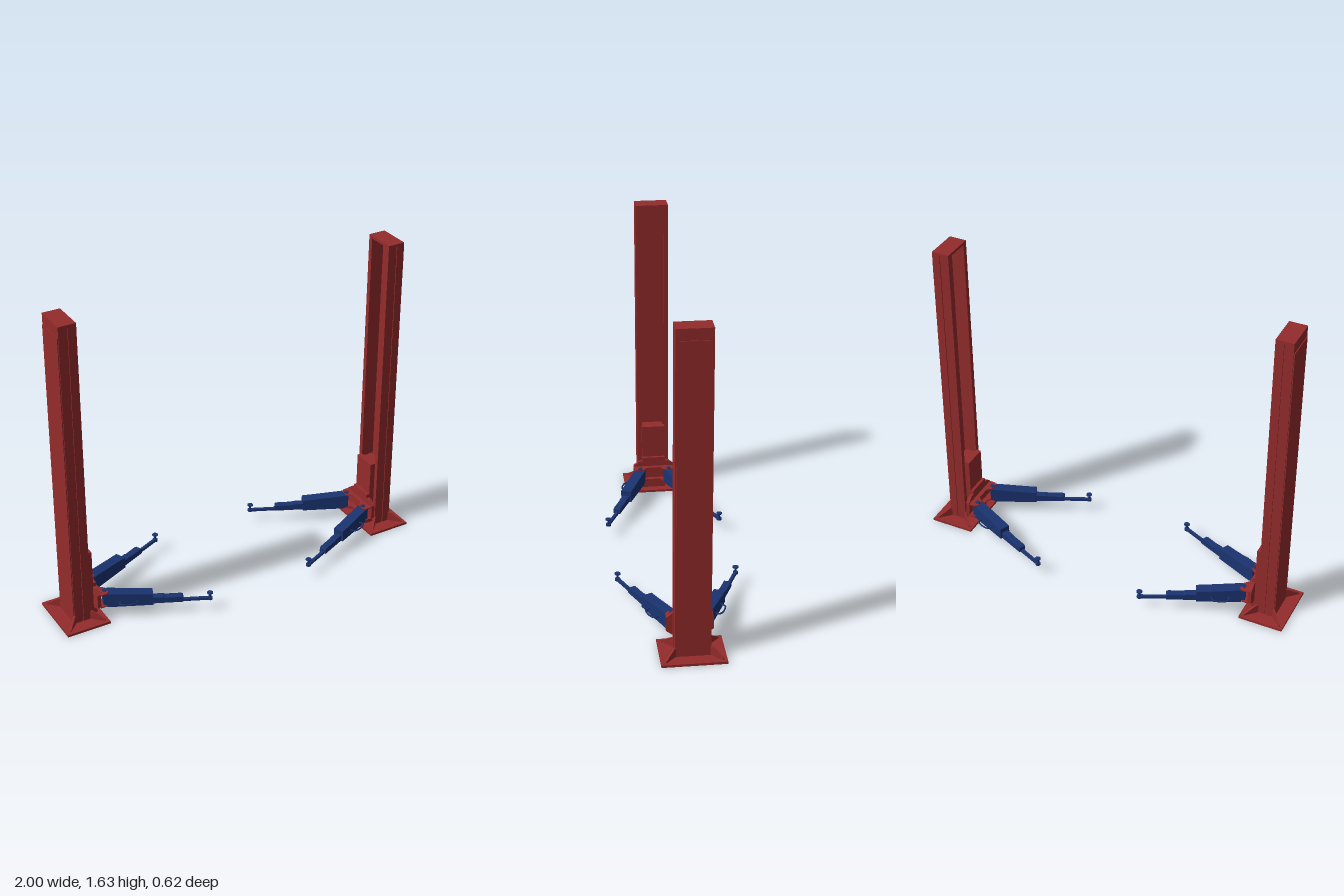
import * as THREE from 'three';

const red = new THREE.MeshStandardMaterial({ color: 0x942b2b, side: THREE.DoubleSide });
const blue = new THREE.MeshStandardMaterial({ color: 0x1a3370 });

function add(parent, name, geometry, material, x = 0, y = 0, z = 0) {
  const mesh = new THREE.Mesh(geometry, material);
  mesh.name = name;
  mesh.position.set(x, y, z);
  parent.add(mesh);
  return mesh;
}

// Box given by its limits on each axis
function box(parent, name, material, [x0, x1], [y0, y1], [z0, z1]) {
  return add(parent, name, new THREE.BoxGeometry(x1 - x0, y1 - y0, z1 - z0), material,
    (x0 + x1) / 2, (y0 + y1) / 2, (z0 + z1) / 2);
}

// Outline in xy, extruded along z and centred on z = 0
function slab(points, depth) {
  const shape = new THREE.Shape(points.map(([x, y]) => new THREE.Vector2(x, y)));
  return new THREE.ExtrudeGeometry(shape, { depth, bevelEnabled: false }).translate(0, 0, -depth / 2);
}

// Outline in (x, z), extruded upwards from y = 0
function plan(points, height) {
  return slab(points.map(([x, z]) => [x, -z]), height).rotateX(-Math.PI / 2).translate(0, height / 2, 0);
}

function createColumn() {
  const column = new THREE.Group();
  column.name = 'column';
  box(column, 'basePlate', red, [0.77, 1], [0, 0.012], [-0.155, 0.155]);

  // Open channel with inward lips and a narrow groove down each side
  const half = [
    [0.93, 0.085], [0.89, 0.085], [0.89, 0.08], [0.882, 0.08], [0.882, 0.085],
    [0.84, 0.085], [0.84, 0.06], [0.848, 0.06], [0.848, 0.073], [0.918, 0.073],
  ];
  const mirrored = half.map(([x, z]) => [x, -z]).reverse();
  add(column, 'channel', plan([...half, ...mirrored], 1.615), red, 0, 0.01, 0);
  box(column, 'topCap', red, [0.84, 0.93], [1.62, 1.635], [-0.085, 0.085]);
  box(column, 'backPlate', red, [0.925, 0.934], [0.01, 1.58], [-0.08, 0.08]);

  // Diagonal corner gussets
  for (const sx of [-1, 1]) {
    for (const sz of [-1, 1]) {
      const gusset = add(column, 'gusset',
        slab([[-0.01, 0.01], [0.075, 0.01], [0.075, 0.017], [0.01, 0.058], [-0.01, 0.058]], 0.01), red,
        sx > 0 ? 0.928 : 0.842, 0, sz * 0.083);
      gusset.rotation.y = Math.atan2(-sz * 0.055, sx * 0.055);
    }
  }
  return column;
}

function createCarriage() {
  const carriage = new THREE.Group();
  carriage.name = 'carriage';
  box(carriage, 'slider', red, [0.835, 0.9], [0.04, 0.37], [-0.055, 0.055]);
  box(carriage, 'slidePlate', red, [0.813, 0.84], [0.02, 0.38], [-0.062, 0.062]);
  box(carriage, 'lowerPlate', red, [0.797, 0.815], [0.02, 0.2], [-0.062, 0.062]);

  // Wide plate with clipped corners behind the arms
  const wide = [[-0.085, 0.06], [0.085, 0.06], [0.112, 0.08], [0.112, 0.152],
    [0.08, 0.178], [-0.08, 0.178], [-0.112, 0.152], [-0.112, 0.08]];
  add(carriage, 'armBracket', slab(wide, 0.018).rotateY(Math.PI / 2), red, 0.806, 0, 0);

  // Forks holding the arm pivots
  const fork = [[0.8, -0.112], [0.8, 0.112], [0.765, 0.112], [0.75, 0.1],
    [0.75, 0.06], [0.775, 0.035], [0.775, -0.035], [0.75, -0.06], [0.75, -0.1], [0.765, -0.112]];
  for (const y of [0.073, 0.143]) add(carriage, 'forkPlate', plan(fork, 0.006), red, 0, y, 0);
  return carriage;
}

// Telescoping arm along local +x; side is the z sign of the outer face in the world
function createArm(side) {
  const arm = new THREE.Group();
  arm.name = side > 0 ? 'frontArm' : 'rearArm';
  arm.position.set(0.755, 0, side * 0.082);
  arm.rotation.y = Math.PI + side * THREE.MathUtils.degToRad(24.5);

  add(arm, 'pivotPin', new THREE.CylinderGeometry(0.012, 0.012, 0.085, 16), blue, -0.008, 0.11, 0);
  add(arm, 'outerTube',
    slab([[-0.015, 0.079], [0.01, 0.065], [0.23, 0.065], [0.23, 0.126], [0.17, 0.13], [0.01, 0.143], [-0.015, 0.143]], 0.056), blue);
  add(arm, 'middleTube',
    slab([[0.2, 0.066], [0.38, 0.066], [0.38, 0.091], [0.37, 0.096], [0.29, 0.096], [0.28, 0.1], [0.2, 0.1]], 0.036), blue);
  box(arm, 'innerTube', blue, [0.35, 0.513], [0.062, 0.075], [-0.008, 0.008]);

  // Lifting pad on its post
  add(arm, 'padSocket', new THREE.CylinderGeometry(0.013, 0.013, 0.012, 20), blue, 0.513, 0.068, 0);
  add(arm, 'padPost', new THREE.CylinderGeometry(0.005, 0.005, 0.03, 12), blue, 0.513, 0.085, 0);
  add(arm, 'liftPad', new THREE.CylinderGeometry(0.015, 0.015, 0.006, 24), blue, 0.513, 0.1, 0);

  // Curved grab handle on the outer face
  const grip = [[0.07, 0.025], [0.065, 0.045], [0.08, 0.058], [0.12, 0.06], [0.145, 0.052], [0.155, 0.025]]
    .map(([x, z]) => new THREE.Vector3(x, 0.096, -side * z));
  add(arm, 'grabHandle', new THREE.TubeGeometry(new THREE.CatmullRomCurve3(grip), 28, 0.004, 8), blue);
  return arm;
}

export function createModel() {
  const model = new THREE.Group();
  model.name = 'twoPostLift';
  // The two posts face each other
  for (const [name, turn] of [['leftPost', 0], ['rightPost', Math.PI]]) {
    const post = new THREE.Group();
    post.name = name;
    post.rotation.y = turn;
    post.add(createColumn(), createCarriage(), createArm(1), createArm(-1));
    model.add(post);
  }
  return model;
}
